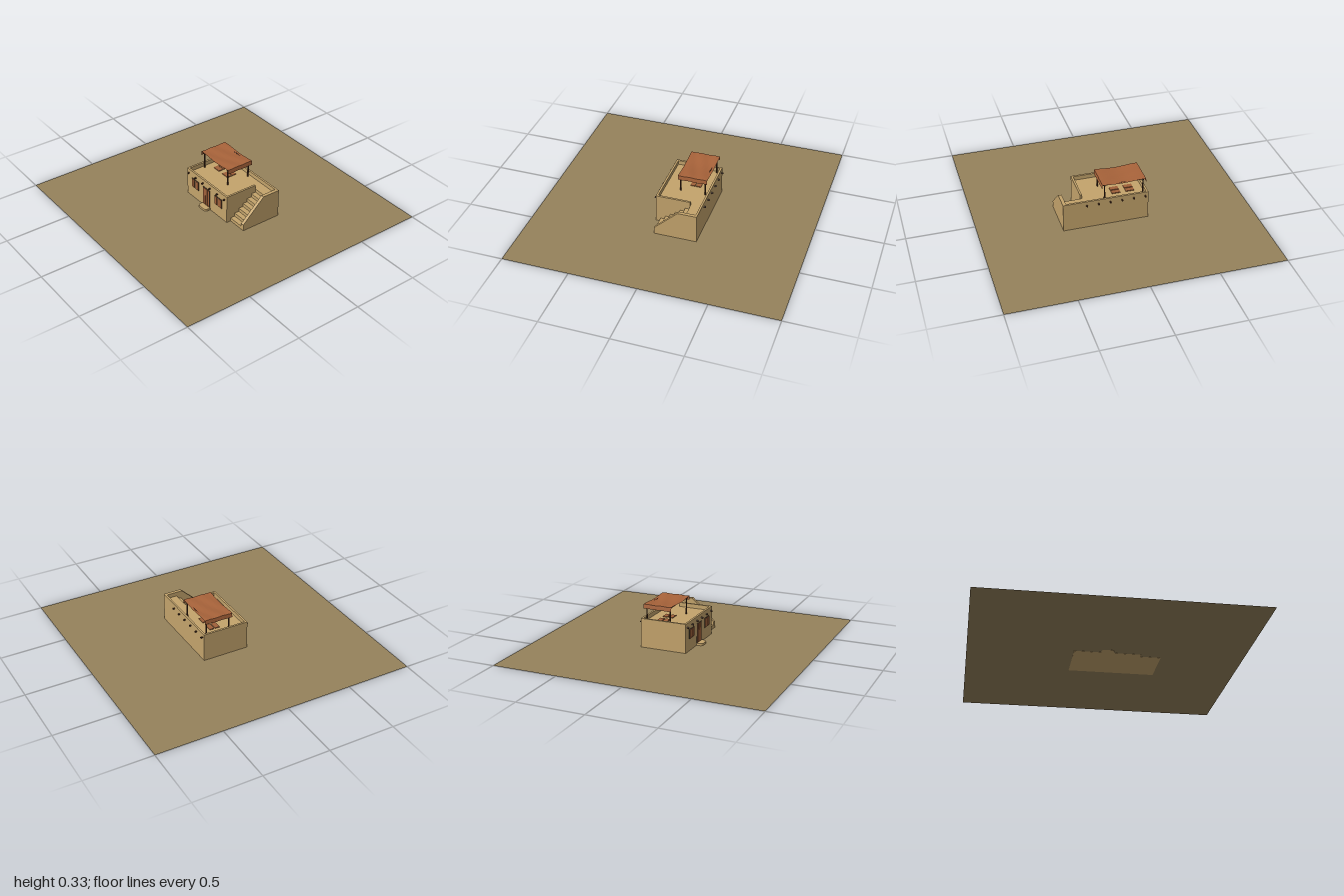
import * as THREE from 'three';

export function createModel() {
  const model = new THREE.Group();
  const mat = (name, color, extra = {}) => {
    const m = new THREE.MeshStandardMaterial({ color, ...extra });
    m.name = name;
    return m;
  };
  const adobe = mat('adobe', 0xc4a46c);
  const sand = mat('sand', 0x96825b, { side: THREE.DoubleSide });
  const cloth = mat('terracotta cloth', 0xa8633a, { side: THREE.DoubleSide, flatShading: true });
  const paint = mat('painted wood', 0xa0613a);
  const timber = mat('dark timber', 0x4a2c1c);
  const shade = mat('dark opening', 0x4d4130);

  const add = (name, geo, material, parent = model) => {
    const m = new THREE.Mesh(geo, material);
    m.name = name;
    parent.add(m);
    return m;
  };
  // Box given by its limits on each axis
  const box = (name, material, x0, x1, y0, y1, z0, z1, parent = model) => {
    const m = add(name, new THREE.BoxGeometry(x1 - x0, y1 - y0, z1 - z0), material, parent);
    m.position.set((x0 + x1) / 2, (y0 + y1) / 2, (z0 + z1) / 2);
    return m;
  };
  // Side profile of [z, y] points, extruded from x0 to x1
  const sideProfile = (name, points, x0, x1) => {
    const shape = new THREE.Shape(points.map(([z, y]) => new THREE.Vector2(-z, y)));
    const geo = new THREE.ExtrudeGeometry(shape, { depth: x1 - x0, bevelEnabled: false });
    geo.rotateY(Math.PI / 2).translate(x0, 0, 0);
    return add(name, geo, adobe);
  };

  // Ground
  const ground = add('ground', new THREE.PlaneGeometry(2, 2).rotateX(-Math.PI / 2), sand);
  ground.position.y = 0.001;

  // House body, roof terrace and parapets
  const L = -0.236, R = 0.25, E = 0.4, F = 0.125, B = -0.23;
  const roof = 0.188, top = 0.22, t = 0.015, landing = -0.135;
  box('houseBody', adobe, L, R, 0, roof, B, F);
  box('stairLanding', adobe, R, 0.375, 0, roof, B, landing);
  box('frontParapet', adobe, L, R, roof, top, F - t, F);
  box('leftSideParapet', adobe, L, L + t, roof, top, B + t, F - t);
  box('backParapet', adobe, L, 0.375, roof, top, B, B + t);
  box('stairParapet', adobe, R - t, R, roof, top, landing, F - t);

  // Staircase with a sloping outer wall
  const risers = 7, zFoot = 0.09, run = (zFoot - landing) / (risers - 1);
  const steps = [[landing, 0], [zFoot, 0]];
  for (let i = 0; i < risers - 1; i++) {
    const y = (roof * (i + 1)) / risers;
    steps.push([zFoot - i * run, y], [zFoot - (i + 1) * run, y]);
  }
  sideProfile('staircase', steps, R, 0.375);
  sideProfile('stairOuterWall', [[B, 0], [zFoot, 0], [zFoot, 0.05], [-0.09, top], [B, top]], 0.375, E);

  // Rounded doorstep
  const s = new THREE.Shape();
  s.moveTo(-0.041, -F);
  s.lineTo(-0.041, -0.145);
  s.quadraticCurveTo(-0.041, -0.172, -0.014, -0.172);
  s.lineTo(0.024, -0.172);
  s.quadraticCurveTo(0.051, -0.172, 0.051, -0.145);
  s.lineTo(0.051, -F);
  const stepGeo = new THREE.ExtrudeGeometry(s, { depth: 0.017, bevelEnabled: false, curveSegments: 5 });
  add('doorstep', stepGeo.rotateX(-Math.PI / 2), adobe);

  // Roof beam ends, front and back
  const beamGeo = new THREE.CylinderGeometry(0.006, 0.006, 0.02, 8).rotateX(Math.PI / 2);
  for (let i = 0; i < 6; i++) {
    for (const z of [F + 0.005, B - 0.005]) {
      add('roofBeamEnd', beamGeo, timber).position.set(-0.212 + i * 0.0875, 0.188, z);
    }
  }

  // Door of three planks in a dark frame
  const door = new THREE.Group();
  door.name = 'door';
  model.add(door);
  box('doorFrame', shade, -0.036, 0.046, 0.017, 0.165, F, F + 0.003, door);
  for (const [x0, x1] of [[-0.031, -0.007], [-0.004, 0.02], [0.024, 0.041]]) {
    box('doorPlank', paint, x0, x1, 0.02, 0.16, F, F + 0.006, door);
  }

  // Shuttered windows
  for (const x of [-0.132, 0.15]) {
    const win = new THREE.Group();
    win.name = 'window';
    model.add(win);
    box('windowOpening', shade, x - 0.042, x + 0.042, 0.09, 0.165, F, F + 0.003, win);
    for (const side of [-1, 1]) {
      const c = x + side * 0.025;
      box('shutter', paint, c - 0.014, c + 0.014, 0.094, 0.161, F, F + 0.007, win);
    }
    box('windowPane', paint, x - 0.006, x + 0.004, 0.096, 0.159, F, F + 0.004, win);
  }

  // Awning frame
  const postGeo = new THREE.CylinderGeometry(0.005, 0.006, 0.13, 8);
  const railGeo = new THREE.CylinderGeometry(0.004, 0.004, 0.31, 8).rotateZ(Math.PI / 2);
  const crossGeo = new THREE.CylinderGeometry(0.004, 0.004, 0.205, 8).rotateX(Math.PI / 2);
  for (const z of [-0.01, -0.195]) {
    for (const x of [-0.204, 0.084]) add('awningPost', postGeo, timber).position.set(x, 0.253, z);
    add('awningRail', railGeo, timber).position.set(-0.06, 0.314, z);
  }
  for (const x of [-0.204, 0.084]) add('awningCrossRail', crossGeo, timber).position.set(x, 0.314, -0.103);

  // Awning cloth: gently sagging sheet, hanging down at both ends
  const span = 0.325, hang = 0.032;
  const sheet = new THREE.PlaneGeometry(span + 2 * hang, 0.22, 24, 10).rotateX(-Math.PI / 2);
  const p = sheet.attributes.position;
  for (let i = 0; i < p.count; i++) {
    const x = p.getX(i), z = p.getZ(i);
    const over = Math.max(0, Math.abs(x) - span / 2);
    const flat = Math.sign(x) * Math.min(Math.abs(x), span / 2);
    const sag = 0.004 * Math.cos((flat / span) * Math.PI * 2) + 0.0015 * Math.sin(z * 60 + flat * 20);
    p.setXYZ(i, flat + Math.sign(x) * over * 0.1, 0.3215 - sag - over, z);
  }
  sheet.computeVertexNormals();
  add('awningCloth', sheet, cloth).position.set(-0.059, 0, -0.104);

  // Floor mats under the awning
  for (const x of [-0.125, -0.02]) {
    for (const dz of [-0.022, 0.022]) {
      box('floorMat', paint, x - 0.032, x + 0.032, roof, roof + 0.006, -0.1 + dz - 0.018, -0.1 + dz + 0.018);
    }
  }
  return model;
}
